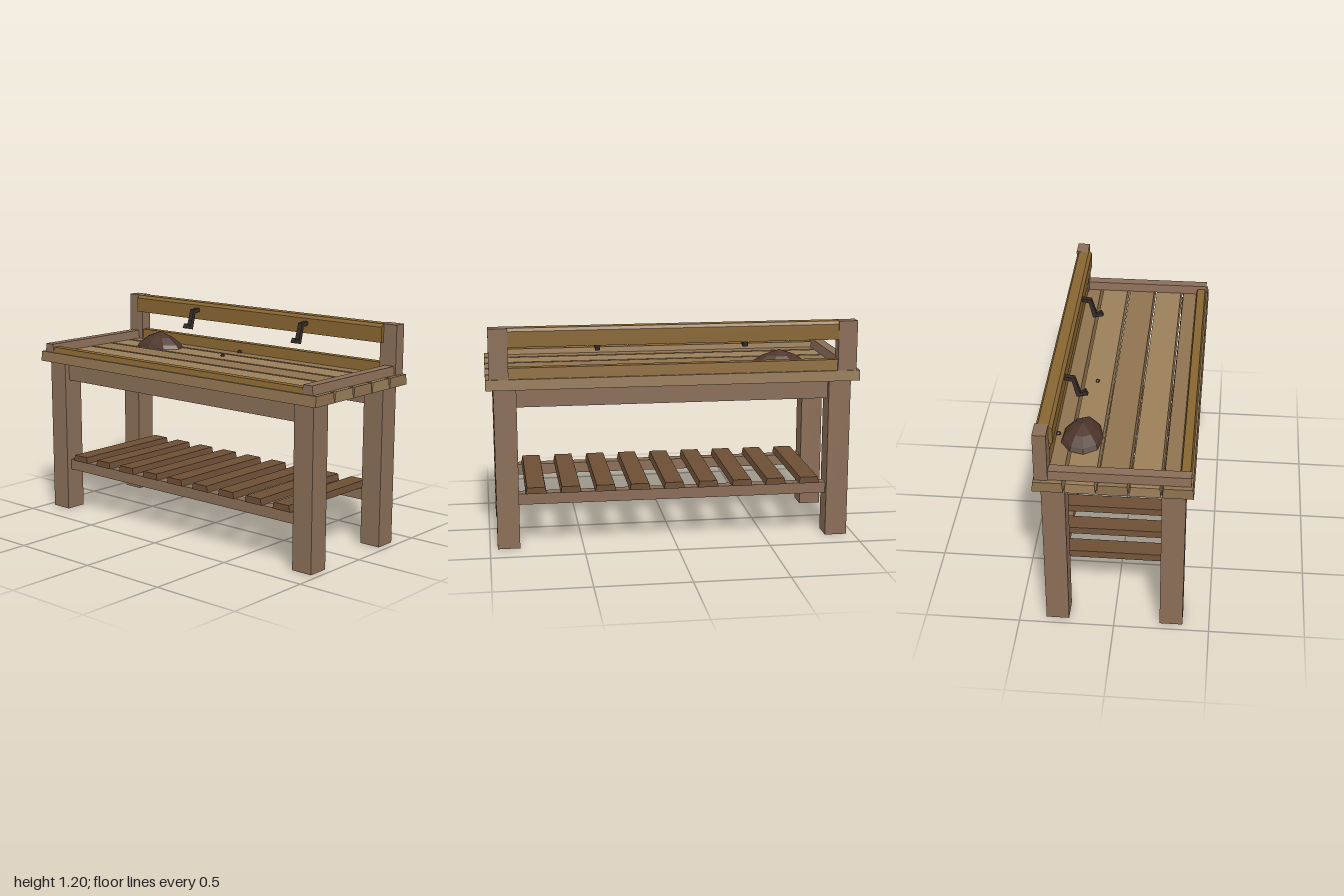
import * as THREE from 'three';

const mat = (color) => new THREE.MeshStandardMaterial({ color, flatShading: true, roughness: 0.9 });

export function createModel() {
  const model = new THREE.Group();
  const frameWood = mat(0x8a6d57), trimWood = mat(0x876531), topWood = mat(0x9b7f59);
  const topWoodDark = mat(0x8f7350), slatWood = mat(0x6c4e35), soil = mat(0x4d352b), iron = mat(0x352b27);

  const add = (name, geometry, material) => {
    const mesh = new THREE.Mesh(geometry, material);
    mesh.name = name;
    model.add(mesh);
    return mesh;
  };

  // Box given by its limits; the top face is narrowed by insetX / insetZ on each side
  const board = (name, [x0, x1], [y0, y1], [z0, z1], material, insetX = 0, insetZ = 0) => {
    const geo = new THREE.BoxGeometry(x1 - x0, y1 - y0, z1 - z0);
    const p = geo.attributes.position;
    for (let i = 0; i < p.count; i++) {
      if (p.getY(i) < 0) continue;
      p.setX(i, p.getX(i) - Math.sign(p.getX(i)) * insetX);
      p.setZ(i, p.getZ(i) - Math.sign(p.getZ(i)) * insetZ);
    }
    geo.computeVertexNormals();
    const mesh = add(name, geo, material);
    mesh.position.set((x0 + x1) / 2, (y0 + y1) / 2, (z0 + z1) / 2);
    return mesh;
  };

  // Side profile of [z, y] points extruded along x, centred on x
  const extrudeX = (name, points, width, x, material) => {
    const shape = new THREE.Shape(points.map(([z, y]) => new THREE.Vector2(-z, y)));
    const geo = new THREE.ExtrudeGeometry(shape, { depth: width, bevelEnabled: false });
    geo.translate(0, 0, -width / 2).rotateY(Math.PI / 2);
    add(name, geo, material).position.x = x;
  };

  // Legs, aprons and shelf bearers
  for (const s of [-1, 1]) {
    const zone = (a, b) => [Math.min(s * a, s * b), Math.max(s * a, s * b)];
    for (const cx of [-0.9, 0.9]) {
      board('leg', [cx - 0.06, cx + 0.06], [0, 0.876], zone(0.24, 0.36), frameWood);
    }
    board('apron', [-0.85, 0.85], [0.77, 0.876], zone(0.27, 0.33), frameWood);
    board('shelfBearer', [-0.85, 0.85], [0.235, 0.295], zone(0.27, 0.33), frameWood);
  }

  // Shelf slats
  for (let i = 0; i < 9; i++) {
    const x = (i - 4) * 0.1868;
    board('shelfSlat', [x - 0.056, x + 0.056], [0.295, 0.33], [-0.34, 0.34], slatWood, 0.007, 0);
  }

  // Table top planks
  for (let i = 0; i < 5; i++) {
    const z = (i - 2) * 0.1605;
    board('topPlank', [-1, 1], [0.876, 0.932], [z - 0.078, z + 0.078], i % 2 ? topWood : topWoodDark, 0, 0.006);
  }

  // Raised edging around the top, and back posts
  for (const s of [-1, 1]) {
    const x = s * 0.94;
    board('sideRail', [x - 0.034, x + 0.034], [0.932, 0.98], [-0.33, 0.385], frameWood, 0.006, 0);
    board('backPost', [s * 0.93 - 0.051, s * 0.93 + 0.051], [0.932, 1.2], [-0.388, -0.32], frameWood);
  }
  board('frontRail', [-0.91, 0.91], [0.932, 0.962], [0.325, 0.384], trimWood, 0, 0.007);
  board('backRail', [-0.885, 0.885], [0.932, 0.99], [-0.382, -0.325], trimWood, 0, 0.006);

  // Upper back board with chamfered top edges
  extrudeX('backBoard', [[-0.3, 1.1], [-0.3, 1.183], [-0.317, 1.199], [-0.372, 1.199], [-0.384, 1.183], [-0.384, 1.1]],
    1.8, 0, trimWood);

  // Hooks
  for (const x of [-0.4, 0.4]) {
    extrudeX('hook', [[-0.305, 1.167], [-0.248, 1.162], [-0.22, 1.07], [-0.194, 1.086], [-0.181, 1.06],
      [-0.24, 1.048], [-0.263, 1.14], [-0.305, 1.147]], 0.027, x, iron);
  }

  // Soil heap: faceted mound slightly irregular around the rim
  const heap = new THREE.LatheGeometry(
    [[1, 0], [0.9, 0.022], [0.55, 0.058], [0, 0.088]].map(([r, y]) => new THREE.Vector2(r, y)), 9);
  const p = heap.attributes.position;
  for (let i = 0; i < p.count; i++) {
    const a = Math.atan2(p.getZ(i), p.getX(i));
    const k = 1 + 0.05 * Math.sin(3 * a + 1);
    p.setXYZ(i, p.getX(i) * 0.16 * k, p.getY(i), p.getZ(i) * 0.108 * k);
  }
  heap.computeVertexNormals();
  add('soilHeap', heap, soil).position.set(-0.6, 0.932, -0.188);

  // Stray crumbs of soil
  for (const [x, z, r] of [[-0.09, -0.165, 0.012], [-0.09, -0.315, 0.013], [-0.59, -0.315, 0.013]]) {
    add('soilCrumb', new THREE.DodecahedronGeometry(r), soil).position.set(x, 0.937, z);
  }

  return model;
}
